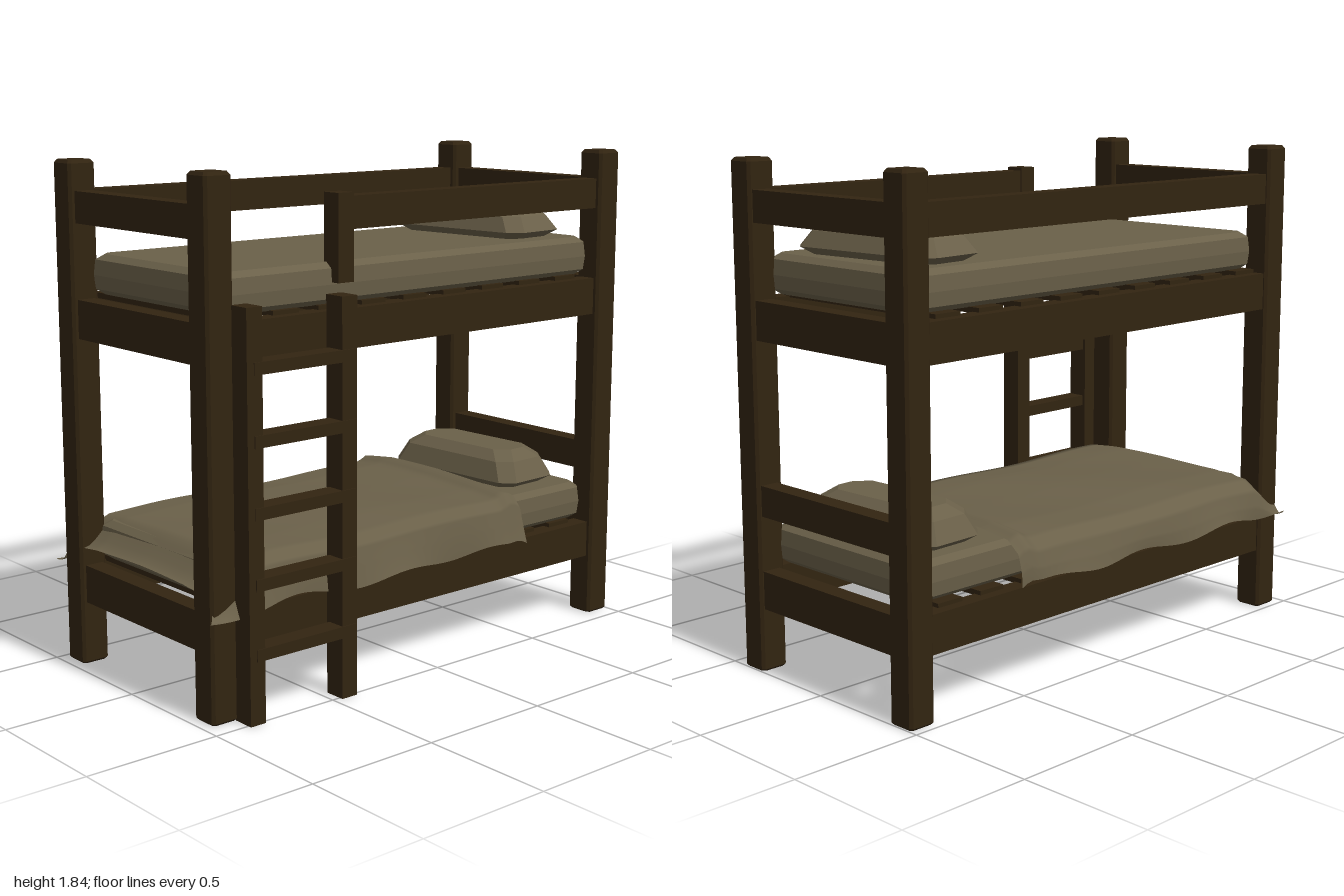
import * as THREE from 'three';
import { ParametricGeometry } from 'three/addons/geometries/ParametricGeometry.js';

const wood = new THREE.MeshStandardMaterial({ color: 0x322411 });
wood.name = 'dark wood';
const cloth = new THREE.MeshStandardMaterial({ color: 0x6a6049, side: THREE.DoubleSide });
cloth.name = 'olive cloth';

// Flat-faced solid through stacked corner-cut rectangles: [y, halfX, halfZ, cut]
function loft(levels) {
  const rings = levels.map(([y, hx, hz, c]) => [
    [hx, hz - c], [hx, c - hz], [hx - c, -hz], [c - hx, -hz],
    [-hx, c - hz], [-hx, hz - c], [c - hx, hz], [hx - c, hz],
  ].map(([x, z]) => [x, y, z]));
  const pos = [];
  const tri = (...pts) => pts.forEach((p) => pos.push(...p));
  for (let r = 0; r < rings.length - 1; r++) {
    const a = rings[r], b = rings[r + 1];
    for (let i = 0; i < 8; i++) {
      const j = (i + 1) % 8;
      tri(a[i], a[j], b[j]);
      tri(a[i], b[j], b[i]);
    }
  }
  const bottom = rings[0], top = rings[rings.length - 1];
  for (let i = 1; i < 7; i++) {
    tri(top[0], top[i], top[i + 1]);
    tri(bottom[0], bottom[i + 1], bottom[i]);
  }
  const g = new THREE.BufferGeometry();
  g.setAttribute('position', new THREE.Float32BufferAttribute(pos, 3));
  g.computeVertexNormals();
  return g;
}

export function createModel() {
  const model = new THREE.Group();
  model.name = 'bunkBed';

  const add = (name, geometry, material, x = 0, y = 0, z = 0) => {
    const mesh = new THREE.Mesh(geometry, material);
    mesh.name = name;
    mesh.position.set(x, y, z);
    model.add(mesh);
    return mesh;
  };
  // Wooden board given by its minimum and maximum on each axis
  const board = (name, x0, x1, y0, y1, z0, z1) =>
    add(name, new THREE.BoxGeometry(x1 - x0, y1 - y0, z1 - z0), wood,
      (x0 + x1) / 2, (y0 + y1) / 2, (z0 + z1) / 2);

  // Corner posts with softened edges
  const post = loft([
    [0, 0.047, 0.047, 0.01], [0.008, 0.054, 0.054, 0.01],
    [1.828, 0.054, 0.054, 0.01], [1.84, 0.046, 0.046, 0.01],
  ]);
  for (const x of [-0.42, 0.382]) {
    for (const z of [-0.945, 0.911]) add('cornerPost', post, wood, x, 0, z);
  }

  // Bed frames, slats and mattresses
  const mattress = loft([
    [0, 0.36, 0.86, 0.03], [0.02, 0.385, 0.885, 0.03], [0.07, 0.39, 0.89, 0.03],
    [0.125, 0.385, 0.885, 0.03], [0.145, 0.36, 0.86, 0.03],
  ]);
  for (const y of [0.235, 1.21]) {
    const top = y + 0.14;
    board('sideRail', -0.46, -0.39, y, top, -0.9, 0.87);
    board('sideRail', 0.345, 0.415, y, top, -0.9, 0.87);
    board('footRail', -0.37, 0.335, y, top, 0.875, 0.945);
    board('headRail', -0.37, 0.335, y, top, -0.985, -0.915);
    for (let i = 0; i < 9; i++) {
      const z = -0.77 + 0.195 * i;
      board('slat', -0.42, 0.375, top - 0.005, top + 0.015, z - 0.055, z + 0.055);
    }
    add('mattress', mattress, cloth, -0.008, top + 0.013, -0.015);
  }

  // Guard rails of the upper bunk and headboard of the lower bunk
  board('leftGuardRail', -0.46, -0.39, 1.62, 1.733, -0.9, 0.87);
  board('rightGuardRail', 0.345, 0.415, 1.62, 1.733, -0.9, 0.34);
  board('guardRailPost', 0.34, 0.415, 1.44, 1.745, 0.33, 0.4);
  board('footGuardRail', -0.37, 0.335, 1.62, 1.733, 0.875, 0.945);
  board('headGuardRail', -0.37, 0.335, 1.62, 1.733, -0.985, -0.915);
  board('lowerHeadboard', -0.37, 0.335, 0.578, 0.69, -0.985, -0.915);

  // Ladder on the right-hand side of the front end
  board('ladderStile', 0.432, 0.515, 0, 1.412, 0.805, 0.868);
  board('ladderStile', 0.432, 0.515, 0, 1.412, 0.402, 0.468);
  for (let i = 0; i < 5; i++) {
    const y = 0.222 + 0.242 * i;
    board('ladderRung', 0.445, 0.519, y, y + 0.042, 0.408, 0.84);
  }

  // Pillows
  const pillow = (height) => loft([
    [0, 0.27, 0.105, 0.04], [0.035, 0.325, 0.15, 0.05],
    [height * 0.75, 0.285, 0.125, 0.05], [height, 0.235, 0.085, 0.05],
  ]);
  add('upperPillow', pillow(0.122), cloth, -0.02, 1.5, -0.68).rotation.y = 0.09;
  add('lowerPillow', pillow(0.145), cloth, -0.02, 0.525, -0.68).rotation.y = 0.05;

  // Rumpled blanket: a draped cross-section swept from head to foot
  const drape = [
    [0.45, 0.375], [0.435, 0.44], [0.42, 0.5], [0.385, 0.54], [0.25, 0.55], [0, 0.555],
    [-0.28, 0.553], [-0.42, 0.54], [-0.475, 0.5], [-0.495, 0.44], [-0.505, 0.39],
  ];
  const blanket = new ParametricGeometry((u, v, p) => {
    const s = u * (drape.length - 1);
    const i = Math.min(Math.floor(s), drape.length - 2);
    let x = THREE.MathUtils.lerp(drape[i][0], drape[i + 1][0], s - i);
    let y = THREE.MathUtils.lerp(drape[i][1], drape[i + 1][1], s - i);
    const edge = Math.min(1, Math.abs(2 * u - 1) ** 4);
    let z = -0.5 + 1.45 * v;
    // folded cuff at the head end
    y += 0.025 * Math.exp(-(((z + 0.46) / 0.035) ** 2)) * (1 - 0.5 * edge);
    // waves along the hanging sides and gentle rumples on top
    x += edge * 0.012 * Math.sin(z * 9);
    y += 0.005 * Math.sin(z * 8 + x * 6) + edge * 0.012 * Math.sin(z * 13);
    // foot end sags over the rail, corners reach furthest forward
    const foot = THREE.MathUtils.smoothstep(z, 0.8, 0.95);
    y -= foot * (1 - edge) * 0.1;
    z += foot * edge * 0.04;
    p.set(x, y, z);
  }, 40, 60);
  add('blanket', blanket, cloth);

  return model;
}
